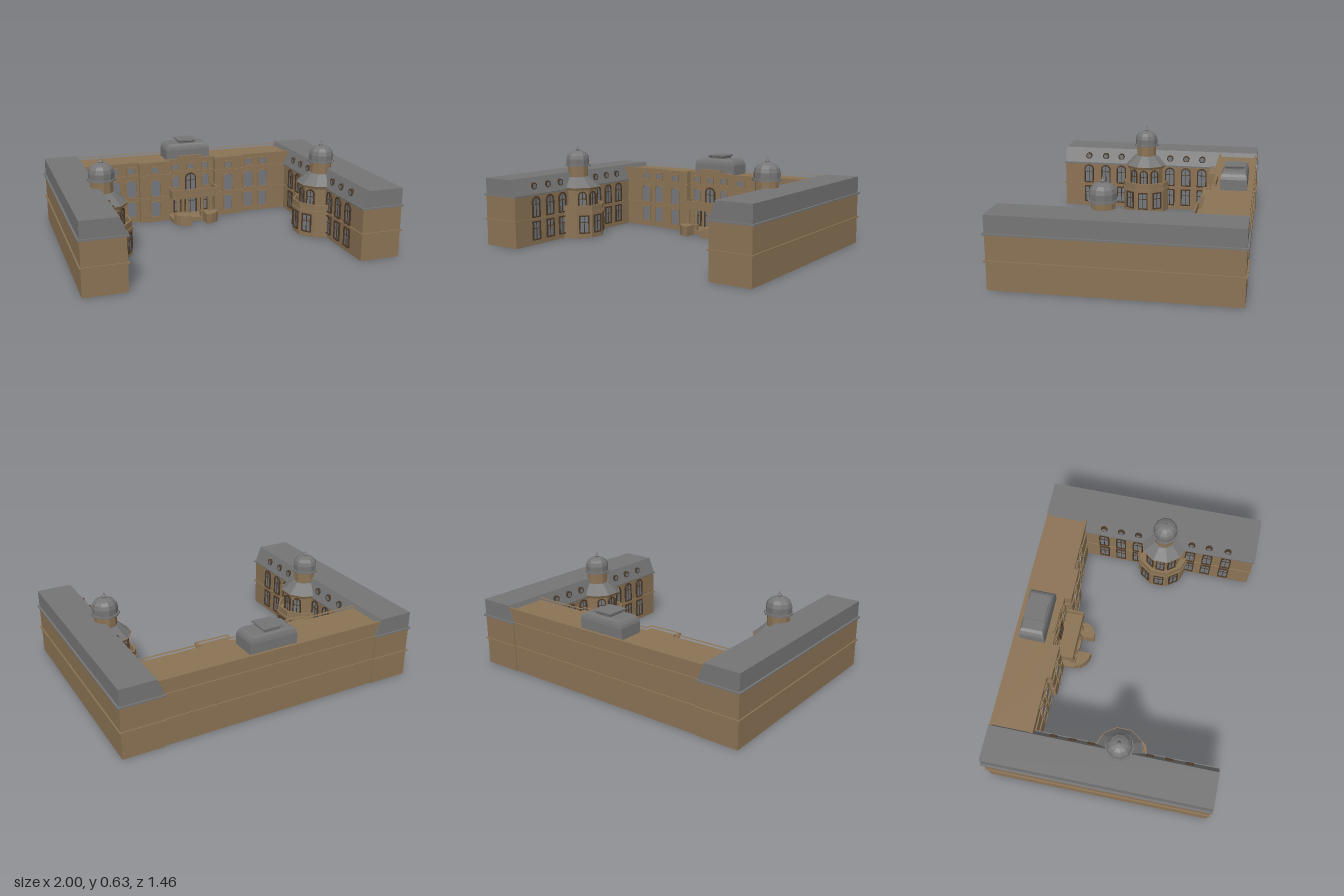
import * as THREE from 'three';

const mat = (name, color) => {
  const m = new THREE.MeshStandardMaterial({ color, flatShading: true });
  m.name = name;
  return m;
};
const stone = mat('tan stone', 0x8b7355);
const slate = mat('grey slate', 0x757575);
const glass = mat('grey glass', 0x74777c);
const dark = mat('dark brown frame', 0x4a3826);

function add(parent, name, geo, material, x = 0, y = 0, z = 0) {
  const m = new THREE.Mesh(geo, material);
  m.name = name;
  m.position.set(x, y, z);
  parent.add(m);
  return m;
}

// Box given by its minimum and maximum corners
function block(parent, name, material, x0, x1, y0, y1, z0, z1) {
  return add(parent, name, new THREE.BoxGeometry(Math.abs(x1 - x0), y1 - y0, z1 - z0), material,
    (x0 + x1) / 2, (y0 + y1) / 2, (z0 + z1) / 2);
}

const vec = pts => pts.map(([x, y]) => new THREE.Vector2(x, y));

// Plan outline of [x, z] points raised from y0 to y1, with an optional hole
function raise(parent, name, material, pts, y0, y1, hole) {
  const flip = p => vec(p.map(([x, z]) => [x, -z]));
  const shape = new THREE.Shape(flip(pts));
  if (hole) shape.holes.push(new THREE.Path(flip(hole)));
  const geo = new THREE.ExtrudeGeometry(shape, { depth: y1 - y0, bevelEnabled: false });
  geo.rotateX(-Math.PI / 2);
  return add(parent, name, geo, material, 0, y0, 0);
}

// Stack of rectangles [halfX, halfZ, y] joined into a solid
function loft(rings) {
  const pos = [], idx = [];
  for (const [a, b, y] of rings) pos.push(a, y, b, a, y, -b, -a, y, -b, -a, y, b);
  for (let i = 0; i < rings.length - 1; i++) {
    for (let j = 0; j < 4; j++) {
      const a = i * 4 + j, b = i * 4 + (j + 1) % 4;
      idx.push(a, b, b + 4, a, b + 4, a + 4);
    }
  }
  const t = (rings.length - 1) * 4;
  idx.push(t, t + 1, t + 2, t, t + 2, t + 3, 0, 2, 1, 0, 3, 2);
  const g = new THREE.BufferGeometry();
  g.setAttribute('position', new THREE.Float32BufferAttribute(pos, 3));
  g.setIndex(idx);
  g.computeVertexNormals();
  return g;
}

// Window opening outline, sill at y = 0
function opening(w, h, arched, C) {
  const s = new C();
  s.moveTo(-w / 2, 0);
  s.lineTo(w / 2, 0);
  if (arched) {
    s.lineTo(w / 2, h - w / 2);
    s.absarc(0, h - w / 2, w / 2, 0, Math.PI, false);
  } else {
    s.lineTo(w / 2, h);
    s.lineTo(-w / 2, h);
  }
  s.closePath();
  return s;
}

// Framed window facing +z, turned by angle
function addWindow(parent, w, h, arched, frameMat, x, y, z, angle = 0) {
  const g = new THREE.Group();
  g.name = 'window';
  const t = 0.008;
  const outer = opening(w + 2 * t, h + 2 * t, arched, THREE.Shape);
  const hole = opening(w, h, arched, THREE.Path);
  const pts = hole.getPoints(6).map(p => new THREE.Vector2(p.x, p.y + t));
  outer.holes.push(new THREE.Path(pts));
  add(g, 'windowFrame', new THREE.ExtrudeGeometry(outer, { depth: 0.01, bevelEnabled: false, curveSegments: 6 }), frameMat, 0, -t, 0);
  add(g, 'windowGlass', new THREE.ShapeGeometry(opening(w, h, arched, THREE.Shape), 6), glass, 0, 0, 0.003);
  if (frameMat === dark) {
    block(g, 'mullion', dark, -0.002, 0.002, 0, h, 0.003, 0.007);
    block(g, 'transom', dark, -w / 2, w / 2, h * 0.62, h * 0.62 + 0.004, 0.003, 0.007);
  }
  g.position.set(x, y, z);
  g.rotation.y = angle;
  parent.add(g);
}

// Main block plan grown outward by o
function mainPlan(o) {
  const half = [[0.76, -0.715 - o], [0.76, -0.45 + o], [0.38 + o, -0.45 + o],
    [0.38 + o, -0.42 + o], [0.17 - o, -0.42 + o], [0.17 - o, -0.465 + o]];
  return [...half, ...half.slice().reverse().map(([x, z]) => [-x, z])];
}

function buildMain() {
  const g = new THREE.Group();
  g.name = 'mainBlock';
  raise(g, 'mainWalls', stone, mainPlan(0), 0, 0.415);
  raise(g, 'parapet', stone, mainPlan(0.005), 0.41, 0.432, mainPlan(-0.012));
  for (const y of [0.17, 0.332]) raise(g, 'stringCourse', stone, mainPlan(0.008), y, y + 0.009);
  block(g, 'centreParapet', stone, -0.085, 0.085, 0.415, 0.45, -0.485, -0.465);

  // Facade windows by bay
  for (const s of [-1, 1]) {
    for (const [x, z] of [[0.55, -0.45], [0.435, -0.45], [0.27, -0.42]]) {
      addWindow(g, 0.06, 0.105, false, stone, s * x, 0.04, z);
      addWindow(g, 0.066, 0.12, true, stone, s * x, 0.187, z);
      addWindow(g, 0.045, 0.04, false, stone, s * x, 0.355, z);
    }
    addWindow(g, 0.04, 0.1, false, dark, s * 0.1, 0.05, -0.465);
    addWindow(g, 0.045, 0.085, true, stone, s * 0.11, 0.225, -0.465);
    addWindow(g, 0.04, 0.035, false, stone, s * 0.11, 0.358, -0.465);
  }
  addWindow(g, 0.075, 0.14, false, dark, 0, 0.03, -0.465);
  addWindow(g, 0.065, 0.125, true, dark, 0, 0.192, -0.465);
  addWindow(g, 0.04, 0.035, false, stone, 0, 0.358, -0.465);

  // Curved slate roof over the centre
  add(g, 'centreRoof', loft([[0.16, 0.083, 0.41], [0.16, 0.083, 0.483], [0.154, 0.08, 0.5],
    [0.143, 0.075, 0.515], [0.125, 0.067, 0.525]]), slate, 0, 0, -0.598);
  add(g, 'centreRoofCap', loft([[0.05, 0.058, 0.52], [0.053, 0.06, 0.535], [0.065, 0.068, 0.541],
    [0.065, 0.068, 0.55]]), slate, 0, 0, -0.598);
  return g;
}

function buildPortico() {
  const g = new THREE.Group();
  g.name = 'portico';
  block(g, 'porticoFloor', stone, -0.165, 0.165, 0, 0.03, -0.47, -0.34);
  block(g, 'balconyFloor', stone, -0.17, 0.17, 0.172, 0.19, -0.47, -0.34);
  block(g, 'balconyFront', stone, -0.17, 0.17, 0.19, 0.235, -0.353, -0.342);
  for (const s of [-1, 1]) {
    block(g, 'balconySide', stone, s * 0.158, s * 0.169, 0.19, 0.235, -0.465, -0.35);
    for (const x of [0.055, 0.12]) {
      block(g, 'columnBase', stone, s * x - 0.016, s * x + 0.016, 0.03, 0.07, -0.376, -0.344);
      add(g, 'column', new THREE.CylinderGeometry(0.011, 0.013, 0.11, 10), stone, s * x, 0.12, -0.36);
    }
    // Curved flank beside the entrance
    const arc = [0, 1, 2, 3, 4].map(i => {
      const a = i * Math.PI / 8;
      return [s * (0.055 + 0.105 * Math.cos(a)), -0.34 + 0.09 * Math.sin(a)];
    });
    raise(g, 'entranceFlank', stone, [[s * 0.055, -0.34], ...arc], 0, 0.07);
  }
  return g;
}

function buildTower(s) {
  const g = new THREE.Group();
  g.name = 'tower';
  const ring = (name, m, r0, r1, y0, y1) =>
    add(g, name, new THREE.CylinderGeometry(r1, r0, y1 - y0, 10), m, 0, (y0 + y1) / 2, 0);
  const turn = (name, m, pts) => add(g, name, new THREE.LatheGeometry(vec(pts), 10), m);
  ring('towerBase', stone, 0.175, 0.175, 0, 0.17);
  ring('terraceEdge', stone, 0.185, 0.185, 0.168, 0.182);
  turn('terraceParapet', stone, [[0.178, 0.18], [0.178, 0.225], [0.166, 0.225], [0.166, 0.18]]);
  ring('towerUpper', stone, 0.13, 0.13, 0.17, 0.335);
  ring('towerCornice', stone, 0.15, 0.158, 0.328, 0.345);
  ring('skirtRoof', slate, 0.153, 0.08, 0.345, 0.412);
  ring('drum', stone, 0.071, 0.071, 0.4, 0.49);
  ring('drumCornice', slate, 0.09, 0.09, 0.486, 0.496);
  turn('dome', slate, [[0.08, 0.495], [0.081, 0.535], [0.074, 0.56], [0.057, 0.579], [0.032, 0.59], [0.012, 0.594]]);
  turn('finial', slate, [[0.012, 0.592], [0.014, 0.602], [0.007, 0.61], [0.004, 0.62], [0, 0.632]]);

  // Windows on the courtyard faces
  for (const k of [-1, 0, 1]) {
    const a = -s * Math.PI / 2 + k * Math.PI / 5;
    const apo = Math.cos(Math.PI / 10);
    const at = r => [Math.sin(a) * r * apo, Math.cos(a) * r * apo];
    const [x, z] = at(0.175), [x2, z2] = at(0.13);
    addWindow(g, 0.055, 0.11, false, dark, x, 0.04, z, a);
    addWindow(g, 0.045, 0.12, true, dark, x2, 0.19, z2, a);
  }
  g.position.set(s * 0.742, 0, 0.1);
  return g;
}

function buildWing(s) {
  const g = new THREE.Group();
  g.name = s > 0 ? 'leftWing' : 'rightWing';
  block(g, 'wingWalls', stone, s * 0.725, s * 0.988, 0, 0.335, -0.722, 0.722);
  block(g, 'wingBand', stone, s * 0.717, s * 0.997, 0.17, 0.179, -0.731, 0.731);
  block(g, 'wingCornice', slate, s * 0.714, s, 0.33, 0.34, -0.732, 0.732);
  const roof = new THREE.Shape(vec([[0.72, 0.34], [0.988, 0.34], [0.988, 0.445], [0.762, 0.445]].map(([x, y]) => [s * x, y])));
  add(g, 'wingRoof', new THREE.ExtrudeGeometry(roof, { depth: 1.444, bevelEnabled: false }), slate, 0, 0, -0.722);

  // Courtyard windows and round roof lights
  const face = -s * Math.PI / 2;
  for (const z of [-0.32, -0.2, -0.08, 0.29, 0.41, 0.54]) {
    addWindow(g, 0.055, 0.11, false, dark, s * 0.725, 0.04, z, face);
    addWindow(g, 0.055, 0.125, true, dark, s * 0.725, 0.19, z, face);
    const rim = add(g, 'roundLightRim', new THREE.CylinderGeometry(0.024, 0.024, 0.03, 12), dark, s * 0.746, 0.388, z);
    rim.rotation.z = Math.PI / 2;
    const pane = add(g, 'roundLightGlass', new THREE.CircleGeometry(0.017, 12), glass, s * 0.73, 0.388, z);
    pane.rotation.y = face;
  }
  g.add(buildTower(s));
  return g;
}

export function createModel() {
  const model = new THREE.Group();
  model.name = 'palace';
  model.add(buildMain(), buildPortico(), buildWing(1), buildWing(-1));
  return model;
}
